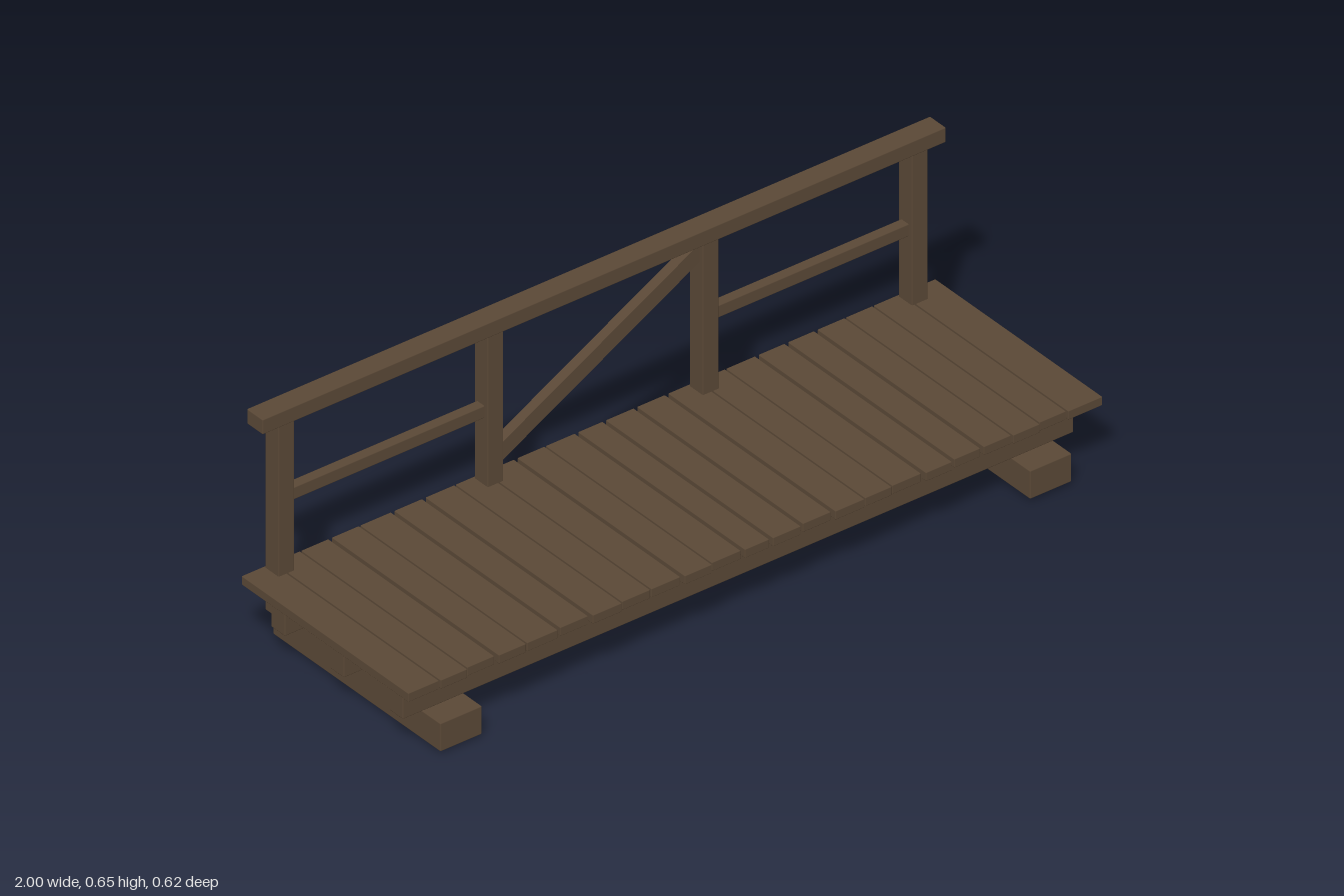
import * as THREE from 'three';
import { RoundedBoxGeometry } from 'three/addons/geometries/RoundedBoxGeometry.js';

const wood = new THREE.MeshStandardMaterial({ color: 0x5a4836 });
wood.name = 'weathered wood';
const metal = new THREE.MeshStandardMaterial({ color: 0x4a3c2e });
metal.name = 'rusty bolt';

export function createModel() {
  const model = new THREE.Group();
  model.name = 'footbridge';

  // Timber with slightly eased edges, given by its extents
  function beam(name, x0, x1, y0, y1, z0, z1, bevel = 0.003) {
    const mesh = new THREE.Mesh(new RoundedBoxGeometry(x1 - x0, y1 - y0, z1 - z0, 1, bevel), wood);
    mesh.position.set((x0 + x1) / 2, (y0 + y1) / 2, (z0 + z1) / 2);
    mesh.name = name;
    model.add(mesh);
    return mesh;
  }
  function bolt(name, x, y, z, length, alongZ) {
    const mesh = new THREE.Mesh(new THREE.CylinderGeometry(0.007, 0.007, length, 8), metal);
    mesh.position.set(x, y, z);
    if (alongZ) mesh.rotation.x = Math.PI / 2;
    mesh.name = name;
    model.add(mesh);
  }

  // Sleepers on the ground with bolts underneath
  for (const x of [-0.85, 0.85]) {
    beam('sleeper', x - 0.06, x + 0.06, 0.008, 0.085, -0.31, 0.31);
    for (const z of [-0.218, 0.218]) bolt('sleeperBolt', x, 0.006, z, 0.012, false);
  }

  // Long stringers and the blocking between them
  for (const z of [-0.218, 0, 0.218]) beam('stringer', -0.967, 0.967, 0.085, 0.178, z - 0.026, z + 0.026);
  for (const x of [-0.9, -0.4, 0.4, 0.9]) {
    for (const z of [-0.109, 0.109]) beam('blocking', x - 0.015, x + 0.015, 0.095, 0.155, z - 0.084, z + 0.084);
  }

  // Deck planks between uneven joints
  const joints = [-1, -0.91, -0.83, -0.745, -0.66, -0.565, -0.475, -0.385, -0.3, -0.21, -0.125, -0.035,
    0.045, 0.135, 0.225, 0.315, 0.395, 0.485, 0.57, 0.655, 0.74, 0.82, 0.9, 1];
  const wide = [3, 5, 6, 9, 11, 12, 13, 14, 17, 18, 19];
  const gap = (i) => (i === 0 || i === joints.length - 1 ? 0 : wide.includes(i) ? 0.005 : 0.002);
  for (let i = 0; i < joints.length - 1; i++) {
    const front = 0.307 + 0.003 * Math.sin(i * 2.3);
    beam('deckPlank', joints[i] + gap(i), joints[i + 1] - gap(i + 1), 0.178, 0.202, -0.31, front, 0.002);
  }

  // Railing posts with bolts on the back
  const posts = [-0.913, -0.31, 0.31, 0.913];
  for (const x of posts) {
    beam('railPost', x - 0.023, x + 0.023, 0.087, 0.612, -0.305, -0.255);
    for (const y of [0.12, 0.153]) bolt('postBolt', x, y, -0.304, 0.012, true);
  }
  for (const x of posts) bolt('railBolt', x, 0.395, -0.304, 0.01, true);

  // Handrail and side rails
  beam('handrail', -0.985, 0.985, 0.61, 0.651, -0.31, -0.251);
  for (const s of [-1, 1]) {
    const a = Math.min(s * 0.3, s * 0.92), b = Math.max(s * 0.3, s * 0.92);
    beam('middleRail', a, b, 0.383, 0.417, -0.296, -0.268);
  }

  // Diagonal brace, cut upright where it meets the posts
  const shape = new THREE.Shape();
  shape.moveTo(-0.295, 0.24);
  shape.lineTo(0.295, 0.562);
  shape.lineTo(0.295, 0.611);
  shape.lineTo(-0.295, 0.289);
  const brace = new THREE.Mesh(new THREE.ExtrudeGeometry(shape, { depth: 0.028, bevelEnabled: false }), wood);
  brace.position.z = -0.296;
  brace.name = 'diagonalBrace';
  model.add(brace);
  bolt('braceBolt', -0.31, 0.265, -0.304, 0.012, true);
  bolt('braceBolt', 0.31, 0.58, -0.304, 0.012, true);

  return model;
}
